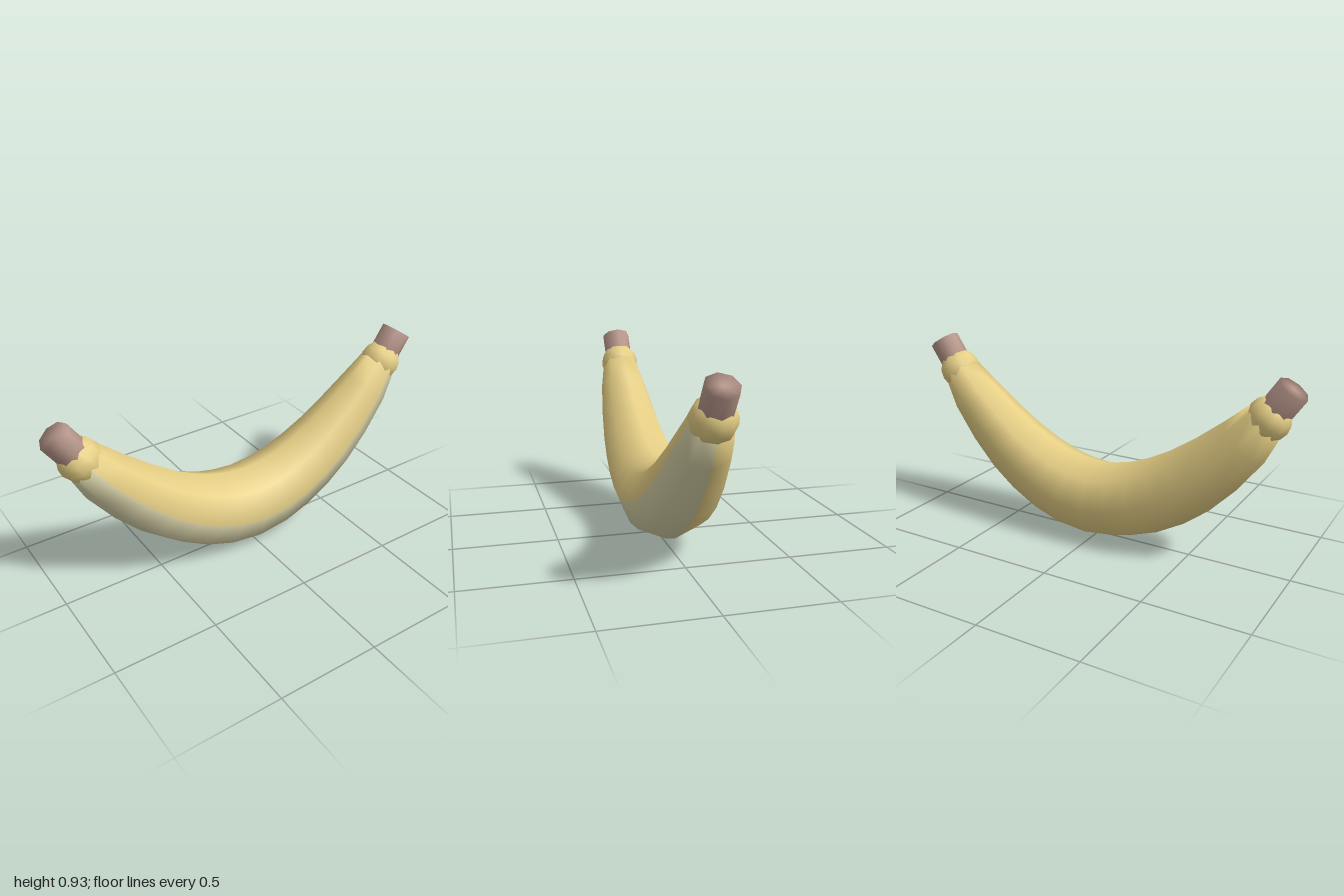
import * as THREE from 'three';
import { mergeVertices } from 'three/addons/utils/BufferGeometryUtils.js';

const material = (name, color) => new THREE.MeshStandardMaterial({ name, color });

// Half of the spine from the middle outwards: x, y, radius
const HALF = [
  [0, 0.197, 0.193], [0.137, 0.213, 0.191], [0.255, 0.25, 0.185], [0.375, 0.31, 0.177],
  [0.49, 0.386, 0.166], [0.615, 0.493, 0.149], [0.745, 0.626, 0.125], [0.84, 0.75, 0.093],
];
const SIDES = 8;

// Curved eight-sided tube with tapering rings; material 1 fills the lower front quarter
function bodyGeometry() {
  const rings = [...HALF.slice(1).reverse().map(([x, y, r]) => [-x, y, r]), ...HALF];
  const last = rings.length - 1;
  const positions = [], skin = [], unripe = [];
  rings.forEach(([x, y, r], i) => {
    const a = rings[Math.max(i - 1, 0)], b = rings[Math.min(i + 1, last)];
    const t = new THREE.Vector2(b[0] - a[0], b[1] - a[1]).normalize();
    for (let j = 0; j < SIDES; j++) {
      const angle = (j / SIDES) * Math.PI * 2;
      const up = r * Math.cos(angle);
      positions.push(x - t.y * up, y + t.x * up, r * Math.sin(angle));
    }
  });
  for (let i = 0; i < last; i++) {
    for (let j = 0; j < SIDES; j++) {
      const k = (j + 1) % SIDES;
      const a = i * SIDES + j, b = i * SIDES + k;
      (j === 2 || j === 3 ? unripe : skin).push(a, b, a + SIDES, b, b + SIDES, a + SIDES);
    }
  }
  // Closed ends
  for (let j = 1; j < SIDES - 1; j++) {
    const e = last * SIDES;
    skin.push(0, j + 1, j, e, e + j, e + j + 1);
  }
  const geometry = new THREE.BufferGeometry();
  geometry.setAttribute('position', new THREE.Float32BufferAttribute(positions, 3));
  geometry.setIndex([...skin, ...unripe]);
  geometry.addGroup(0, skin.length, 0);
  geometry.addGroup(skin.length, unripe.length, 1);
  geometry.computeVertexNormals();
  return geometry;
}

// Stub whose sides and cap share softly blended normals
function stemGeometry() {
  let geometry = new THREE.CylinderGeometry(0.075, 0.075, 0.18, SIDES);
  geometry.deleteAttribute('normal');
  geometry.deleteAttribute('uv');
  geometry = mergeVertices(geometry);
  geometry.clearGroups();
  geometry.computeVertexNormals();
  return geometry;
}

export function createModel() {
  const group = new THREE.Group();
  group.name = 'banana';
  const yellow = material('ripe yellow', 0xe6cf85);
  const pale = material('pale green yellow', 0xd6d0a6);
  const brown = material('stem brown', 0xb69589);

  const body = new THREE.Mesh(bodyGeometry(), [yellow, pale]);
  body.name = 'body';
  group.add(body);

  // Rounded collar and stub at both ends
  const collarShape = new THREE.SphereGeometry(0.102, 10, 8);
  const stemShape = stemGeometry();
  for (const side of [1, -1]) {
    const end = new THREE.Group();
    end.name = side > 0 ? 'leftEnd' : 'rightEnd';
    end.position.set(side * 0.845, 0.748, 0);
    end.rotation.z = -side * 0.594;
    const collar = new THREE.Mesh(collarShape, yellow);
    collar.name = 'collar';
    const stem = new THREE.Mesh(stemShape, brown);
    stem.name = 'stem';
    stem.position.y = 0.085;
    end.add(collar, stem);
    group.add(end);
  }
  return group;
}
